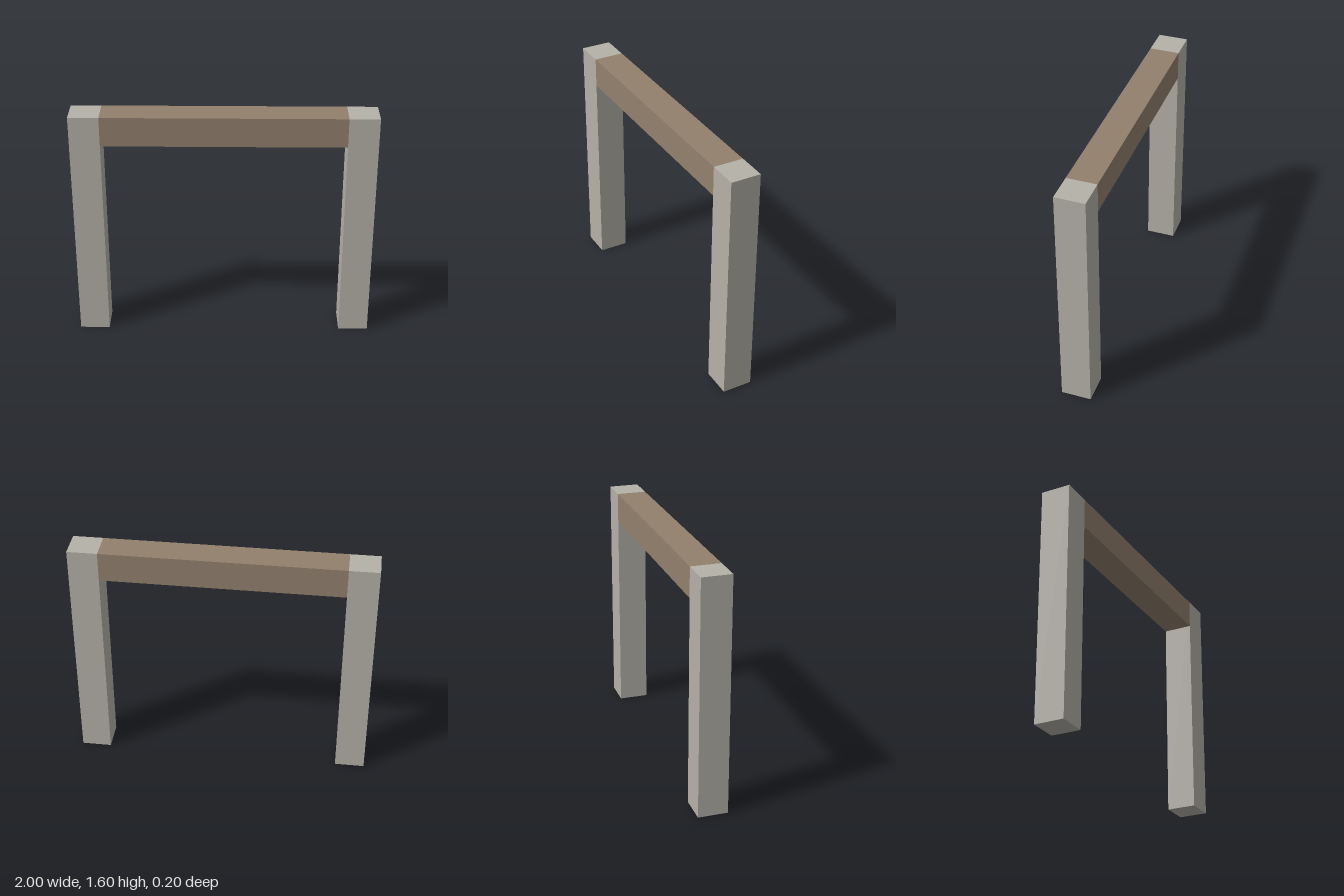
import * as THREE from 'three';

export function createModel() {
  const model = new THREE.Group();
  model.name = 'gateFrame';

  const stone = new THREE.MeshStandardMaterial({ color: 0xb5b1a8 });
  stone.name = 'paleStone';
  const wood = new THREE.MeshStandardMaterial({ color: 0x92806d });
  wood.name = 'brownWood';

  const addBox = (name, material, width, height, x, y) => {
    const mesh = new THREE.Mesh(new THREE.BoxGeometry(width, height, 0.2), material);
    mesh.name = name;
    mesh.position.set(x, y, 0);
    model.add(mesh);
  };

  // Full-height posts, mirrored
  for (const [name, side] of [['leftPost', 1], ['rightPost', -1]]) {
    addBox(name, stone, 0.2, 1.6, side * 0.9, 0.8);
  }

  // Beam held between the post tops
  addBox('crossbeam', wood, 1.6, 0.2, 0, 1.5);

  return model;
}
